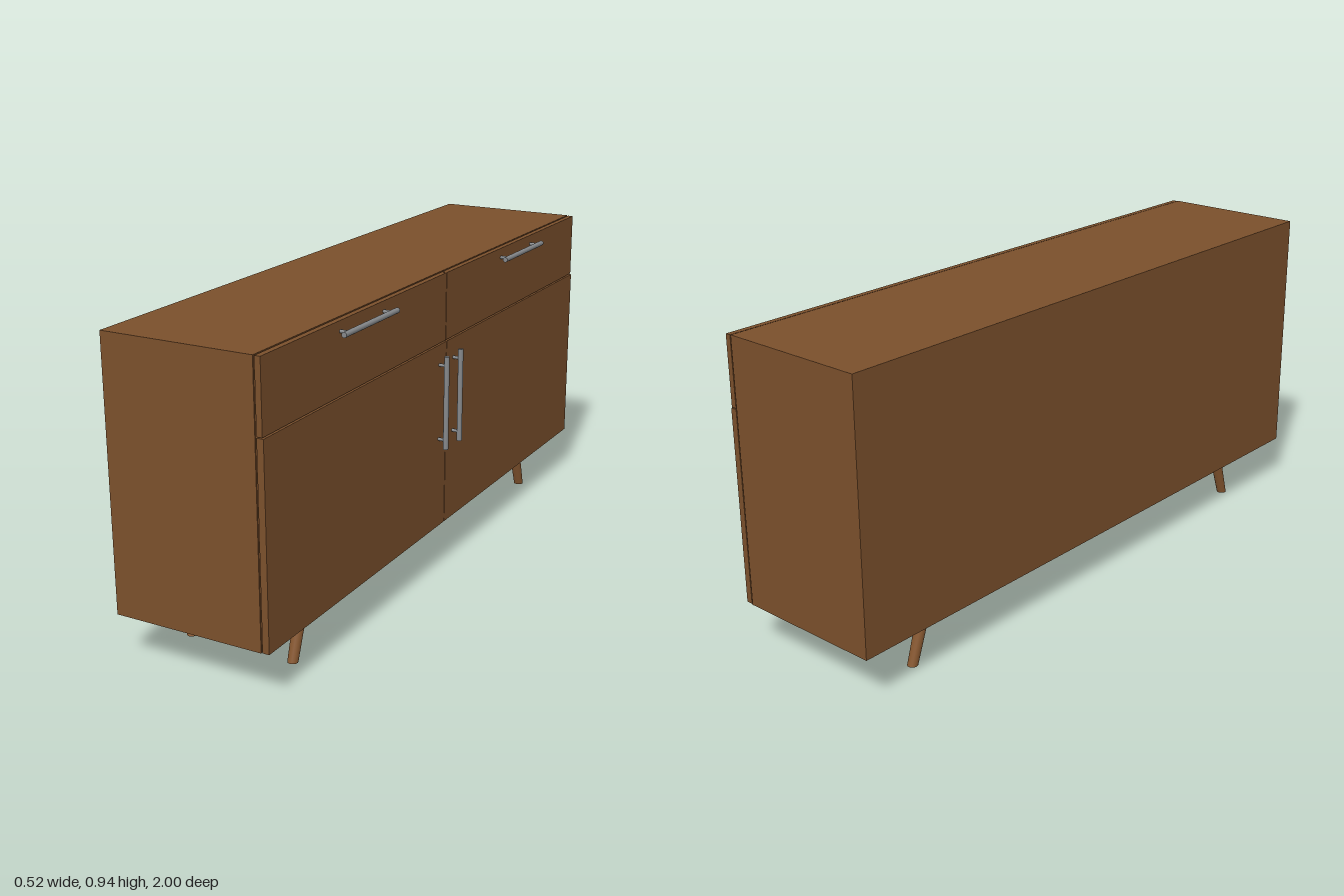
import * as THREE from 'three';

export function createModel() {
  const model = new THREE.Group();
  model.name = 'sideboard';
  const wood = new THREE.MeshStandardMaterial({ color: 0x7b502c });
  wood.name = 'brown wood';
  const legWood = new THREE.MeshStandardMaterial({ color: 0x85562f });
  legWood.name = 'leg wood';
  const steel = new THREE.MeshStandardMaterial({ color: 0x85888b });
  steel.name = 'grey steel';

  const add = (name, geometry, material, parent = model) => {
    const mesh = new THREE.Mesh(geometry, material);
    mesh.name = name;
    parent.add(mesh);
    return mesh;
  };
  // Box given by its lower and upper corners
  const box = (name, x0, x1, y0, y1, z0, z1) => {
    add(name, new THREE.BoxGeometry(x1 - x0, y1 - y0, z1 - z0), wood)
      .position.set((x0 + x1) / 2, (y0 + y1) / 2, (z0 + z1) / 2);
  };

  // Cabinet with a shallow recess behind the drawer and door fronts
  box('cabinet', -0.261, 0.201, 0.147, 0.941, -1, 1);
  box('frontRecess', 0.2, 0.206, 0.15, 0.938, -0.996, 0.996);

  // Bar handle with two posts; the bar runs along y, turned to lie along z
  const handle = (name, y, z, horizontal) => {
    const group = new THREE.Group();
    group.name = name;
    add('bar', new THREE.CylinderGeometry(0.008, 0.008, 0.292, 16), steel, group);
    for (const s of [-1, 1]) {
      const post = add('post', new THREE.CylinderGeometry(0.005, 0.005, 0.034, 12), steel, group);
      post.rotation.z = Math.PI / 2;
      post.position.set(-0.017, s * 0.117, 0);
    }
    group.position.set(0.25, y, z);
    if (horizontal) group.rotation.x = Math.PI / 2;
    model.add(group);
  };

  for (const side of [-1, 1]) {
    const name = side > 0 ? 'left' : 'right';
    const z0 = side > 0 ? 0.0015 : -0.999;
    const z1 = z0 + 0.9975;
    box(name + 'Drawer', 0.205, 0.222, 0.734, 0.94, z0, z1);
    box(name + 'Door', 0.205, 0.225, 0.148, 0.731, z0, z1);
    handle(name + 'DrawerHandle', 0.911, side * 0.505, true);
    handle(name + 'DoorHandle', 0.552, side * 0.047, false);

    // Tapered legs, sheared outward so both ends stay level
    for (const x of [-0.19, 0.147]) {
      const leg = new THREE.CylinderGeometry(0.0185, 0.0155, 0.149, 20);
      leg.applyMatrix4(new THREE.Matrix4().set(
        1, 0, 0, x,
        0, 1, 0, 0.0745,
        0, -side * 0.33, 1, side * 0.742,
        0, 0, 0, 1));
      add(name + (x > 0 ? 'FrontLeg' : 'BackLeg'), leg, legWood);
    }
  }
  return model;
}
